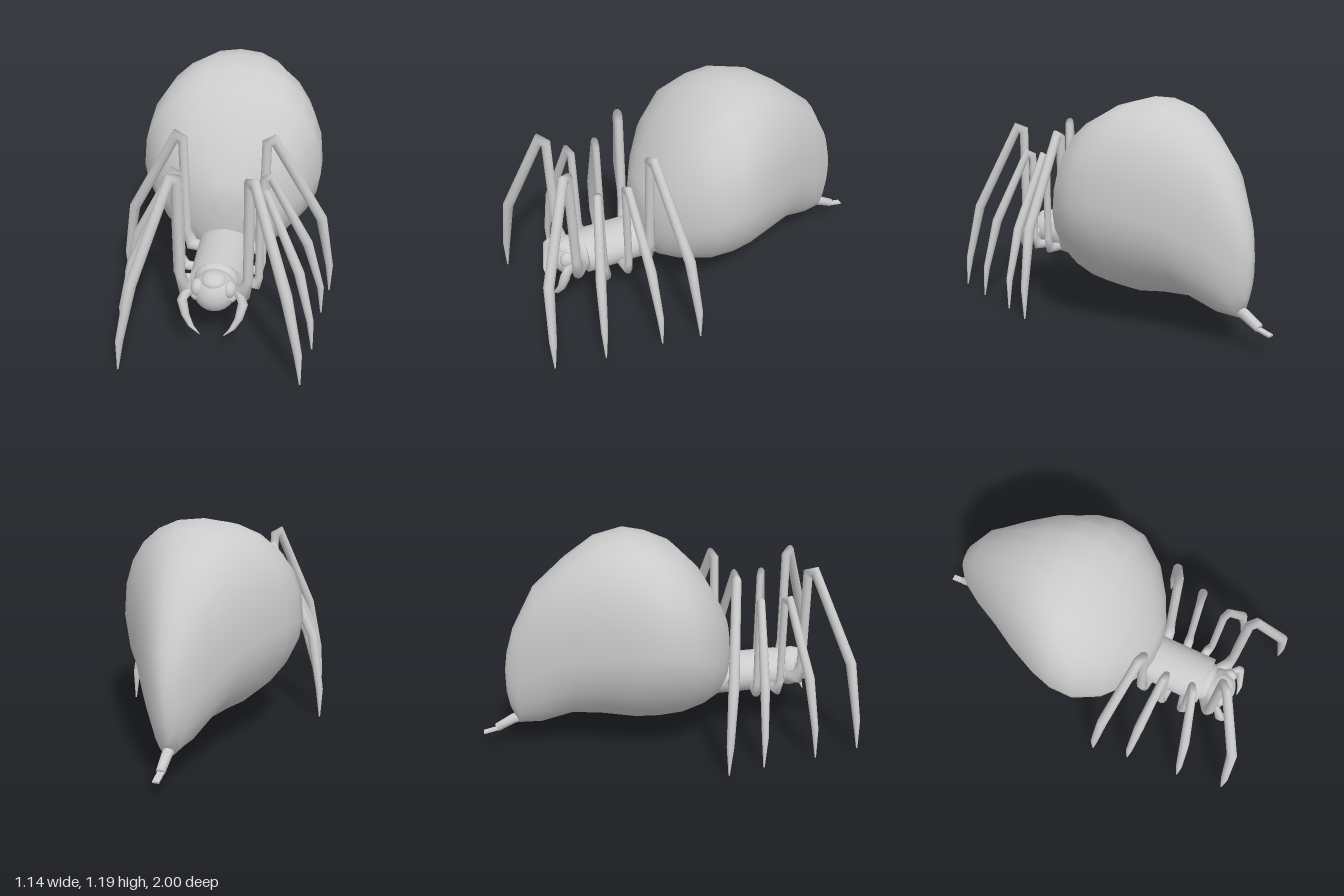
import * as THREE from 'three';

const material = new THREE.MeshStandardMaterial({ color: 0xcccccc, side: THREE.DoubleSide });
const V = (x, y, z) => new THREE.Vector3(x, y, z);

// Skin over a list of closed rings; both ends are closed to their centres
function loft(rings) {
  const n = rings[0].length;
  const centre = r => r.reduce((s, p) => s.add(p), V(0, 0, 0)).divideScalar(n);
  const first = centre(rings[0]), last = centre(rings[rings.length - 1]);
  const all = [rings[0].map(() => first), ...rings, rings[0].map(() => last)];
  const index = [];
  for (let i = 0; i < all.length - 1; i++) {
    for (let j = 0; j < n; j++) {
      const a = i * n + j, b = i * n + (j + 1) % n;
      if (i > 0) index.push(a, a + n, b);
      if (i < all.length - 2) index.push(b, a + n, b + n);
    }
  }
  const geometry = new THREE.BufferGeometry().setFromPoints(all.flat());
  geometry.setIndex(index);
  geometry.computeVertexNormals();
  return geometry;
}

// Tapered, mitred limb along points [x, y, z, radius] that lie near one upright plane
function limb(points, sides = 10) {
  const p = points.map(q => V(q[0], q[1], q[2]));
  const run = p[p.length - 1].clone().sub(p[0]).setY(0);
  const n = run.cross(V(0, 1, 0)).normalize();
  return loft(p.map((c, i) => {
    const before = c.clone().sub(p[Math.max(i - 1, 0)]).normalize();
    const after = p[Math.min(i + 1, p.length - 1)].clone().sub(c).normalize();
    const t = before.clone().add(after).normalize();
    const dir = i ? before : after;
    const stretch = Math.min(1 / Math.max(t.dot(dir), 0.1), 1.35);
    const b = n.clone().cross(t).normalize();
    const r = points[i][3];
    return Array.from({ length: sides }, (_, k) => {
      const a = k / sides * Math.PI * 2;
      return c.clone().addScaledVector(n, r * Math.cos(a)).addScaledVector(b, r * stretch * Math.sin(a));
    });
  }));
}

function abdomenGeometry() {
  // z, bottom, widest height, top, half width
  const sections = [
    [0.35, 0.36, 0.50, 0.62, 0.06],
    [0.33, 0.28, 0.50, 0.70, 0.15],
    [0.27, 0.22, 0.52, 0.82, 0.27],
    [0.18, 0.19, 0.57, 0.97, 0.39],
    [0.05, 0.16, 0.63, 1.10, 0.475],
    [-0.08, 0.15, 0.65, 1.16, 0.48],
    [-0.20, 0.15, 0.65, 1.19, 0.445],
    [-0.36, 0.18, 0.63, 1.16, 0.37],
    [-0.52, 0.195, 0.59, 1.06, 0.275],
    [-0.69, 0.15, 0.51, 0.92, 0.18],
    [-0.81, 0.15, 0.42, 0.70, 0.095],
    [-0.85, 0.25, 0.41, 0.57, 0.05],
    [-0.865, 0.34, 0.41, 0.47, 0.02],
  ];
  const sides = 24;
  return loft(sections.map(([z, low, mid, high, w]) =>
    Array.from({ length: sides }, (_, k) => {
      const a = k / sides * Math.PI * 2, c = Math.cos(a), s = Math.sin(a);
      const e = s >= 0 ? 0.86 : 1.08; // fuller above, more pointed below
      const x = Math.sign(c) * Math.abs(c) ** e * w;
      const h = Math.abs(s) ** e;
      return V(x, s >= 0 ? mid + h * (high - mid) : mid - h * (mid - low), z);
    })));
}

export function createModel() {
  const group = new THREE.Group();
  const add = (name, geometry, position = [0, 0, 0], scale = [1, 1, 1]) => {
    const mesh = new THREE.Mesh(geometry, material);
    mesh.name = name;
    mesh.position.set(...position);
    mesh.scale.set(...scale);
    group.add(mesh);
    return mesh;
  };

  add('abdomen', abdomenGeometry());

  // Spinneret with a flat tip
  add('spinneret', limb([[0, 0.19, -0.78, 0.03], [0, 0.175, -0.84, 0.028], [0, 0.13, -0.93, 0.024]], 8));
  const tip = add('spinneretTip', new THREE.BoxGeometry(0.033, 0.01, 0.085), [0, 0.118, -0.96]);
  tip.rotation.x = -0.2;

  // Thorax barrel and head
  const barrel = new THREE.CylinderGeometry(1, 1, 0.44, 20).rotateX(Math.PI / 2);
  add('thorax', barrel, [0, 0.33, 0.44], [0.137, 0.108, 1]);
  const ball = new THREE.SphereGeometry(1, 20, 14);
  add('neck', ball, [0, 0.335, 0.66], [0.11, 0.105, 0.06]);
  add('head', ball, [0, 0.33, 0.73], [0.105, 0.105, 0.1]);
  add('topEye', ball, [0, 0.40, 0.745], [0.064, 0.042, 0.065]);

  // Leg paths: x, y, z, radius from hip to tip
  const legs = [
    [[0.07, 0.31, 0.67, 0.028], [0.145, 0.325, 0.73, 0.033], [0.165, 0.42, 0.742, 0.025], [0.168, 0.94, 0.745, 0.025],
      [0.195, 0.955, 0.775, 0.025], [0.36, 0.48, 0.945, 0.028], [0.425, 0.17, 0.975, 0.02], [0.44, 0.005, 0.985, 0.004]],
    [[0.10, 0.28, 0.575, 0.023], [0.19, 0.285, 0.595, 0.026], [0.205, 0.34, 0.607, 0.02], [0.205, 0.81, 0.61, 0.02],
      [0.235, 0.825, 0.625, 0.021], [0.405, 0.44, 0.695, 0.026], [0.47, 0.17, 0.718, 0.018], [0.485, 0.005, 0.725, 0.004]],
    [[0.10, 0.28, 0.485, 0.023], [0.19, 0.285, 0.475, 0.026], [0.208, 0.34, 0.472, 0.02], [0.21, 0.81, 0.47, 0.02],
      [0.24, 0.825, 0.465, 0.021], [0.435, 0.44, 0.438, 0.026], [0.51, 0.17, 0.426, 0.018], [0.52, 0.005, 0.423, 0.004]],
    [[0.08, 0.33, 0.37, 0.028], [0.175, 0.335, 0.352, 0.033], [0.2, 0.42, 0.345, 0.025], [0.21, 0.94, 0.335, 0.024],
      [0.245, 0.955, 0.325, 0.025], [0.495, 0.48, 0.25, 0.028], [0.55, 0.17, 0.225, 0.02], [0.557, 0.005, 0.22, 0.004]],
  ];
  const palp = [[0.08, 0.32, 0.73, 0.024], [0.135, 0.335, 0.785, 0.027], [0.148, 0.315, 0.805, 0.025],
    [0.13, 0.24, 0.825, 0.02], [0.1, 0.19, 0.845, 0.014], [0.06, 0.15, 0.85, 0.003]];

  for (const [side, s] of [['left', 1], ['right', -1]]) {
    const mirror = path => path.map(([x, y, z, r]) => [x * s, y, z, r]);
    legs.forEach((path, i) => add(`${side}Leg${i + 1}`, limb(mirror(path))));
    add(`${side}Palp`, limb(mirror(palp)));
    add(`${side}Eye`, ball, [0.078 * s, 0.365, 0.765], [0.033, 0.045, 0.04]);
    add(`${side}Cheek`, ball, [0.085 * s, 0.325, 0.755], [0.03, 0.035, 0.04]);
  }
  return group;
}
